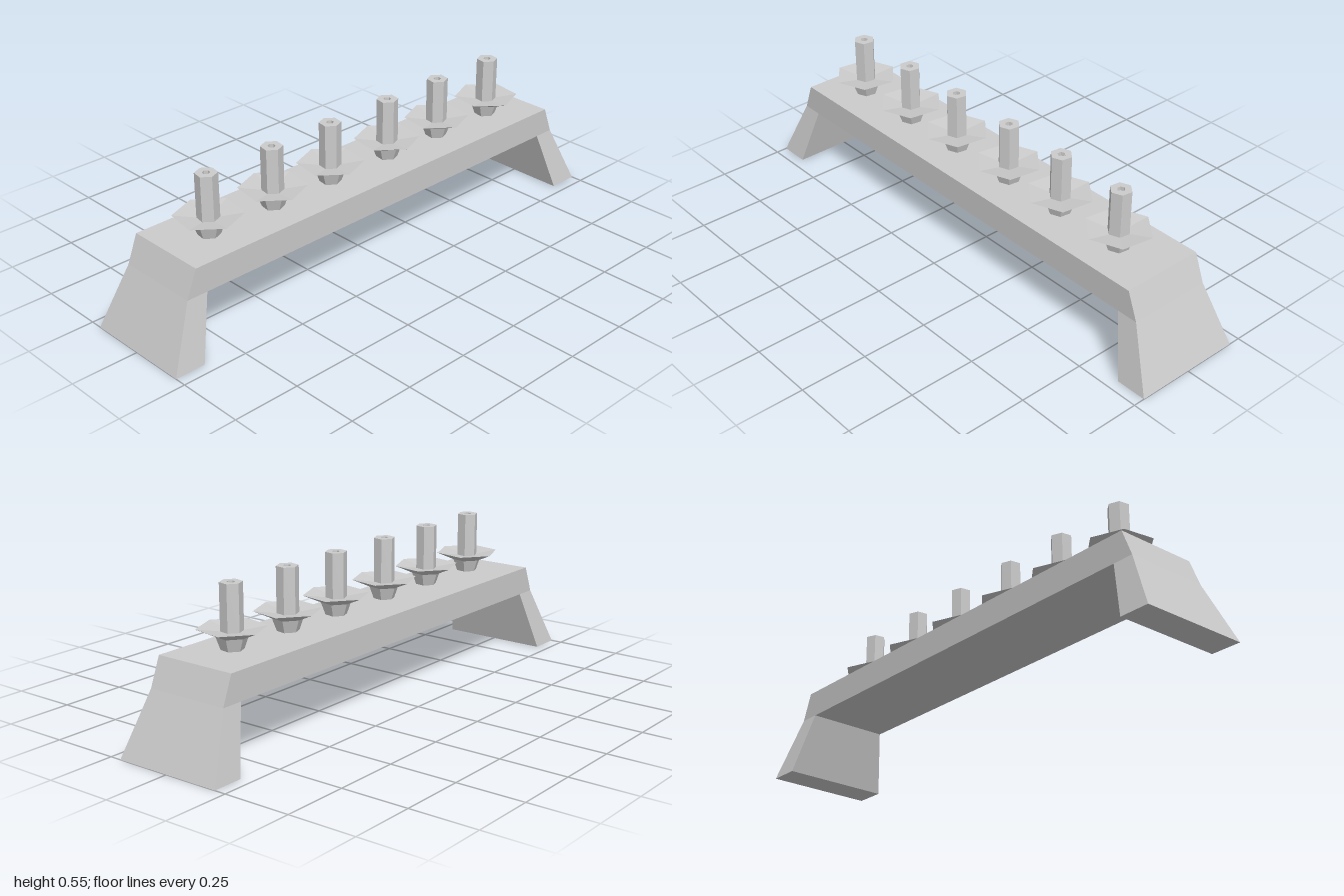
import * as THREE from 'three';

const material = new THREE.MeshStandardMaterial({ color: 0xcccccc, flatShading: true });
const KNEE = 0.225, TOP = 0.327, HALF_DEPTH = 0.157, FOOT_DEPTH = 0.207;

// Slab from an outline in x/y, whose depth widens below the knee towards the feet
function slab(name, outline) {
  const shape = new THREE.Shape(outline.map(([x, y]) => new THREE.Vector2(x, y)));
  const geometry = new THREE.ExtrudeGeometry(shape, { depth: 1, bevelEnabled: false });
  const pos = geometry.attributes.position;
  for (let i = 0; i < pos.count; i++) {
    const flare = Math.max(0, 1 - pos.getY(i) / KNEE);
    const half = HALF_DEPTH + (FOOT_DEPTH - HALF_DEPTH) * flare;
    pos.setZ(i, pos.getZ(i) > 0.5 ? half : -half);
  }
  const mesh = new THREE.Mesh(geometry, material);
  mesh.name = name;
  return mesh;
}

// Six-sided turned part, slightly twisted about its axis
function turned(name, profile) {
  const points = profile.map(([r, y]) => new THREE.Vector2(r, y));
  const twist = THREE.MathUtils.degToRad(-9);
  const mesh = new THREE.Mesh(new THREE.LatheGeometry(points, 6, twist), material);
  mesh.name = name;
  return mesh;
}

export function createModel() {
  const model = new THREE.Group();
  model.name = 'candleHolder';

  // Beam and splayed legs
  model.add(slab('beam', [[-0.9, KNEE], [0.9, KNEE], [0.86, TOP], [-0.86, TOP]]));
  for (const [name, s] of [['leftLeg', 1], ['rightLeg', -1]]) {
    model.add(slab(name, [[s * 0.885, 0], [s * 1, 0], [s * 0.9, KNEE], [s * 0.82, KNEE]]));
  }

  // Row of candles in flared cups
  [-0.69, -0.412, -0.146, 0.134, 0.394, 0.67].forEach((x, i) => {
    const candle = new THREE.Group();
    candle.name = `candle${i + 1}`;
    candle.position.set(x, TOP, 0.013);
    candle.add(
      turned('cup', [[0, 0], [0.039, 0], [0.055, 0.045], [0.12, 0.074], [0.036, 0.062]]),
      // stick with a small wick recess on top
      turned('stick', [[0.039, 0.055], [0.039, 0.226], [0.014, 0.226], [0.014, 0.212], [0, 0.212]])
    );
    model.add(candle);
  });

  return model;
}
